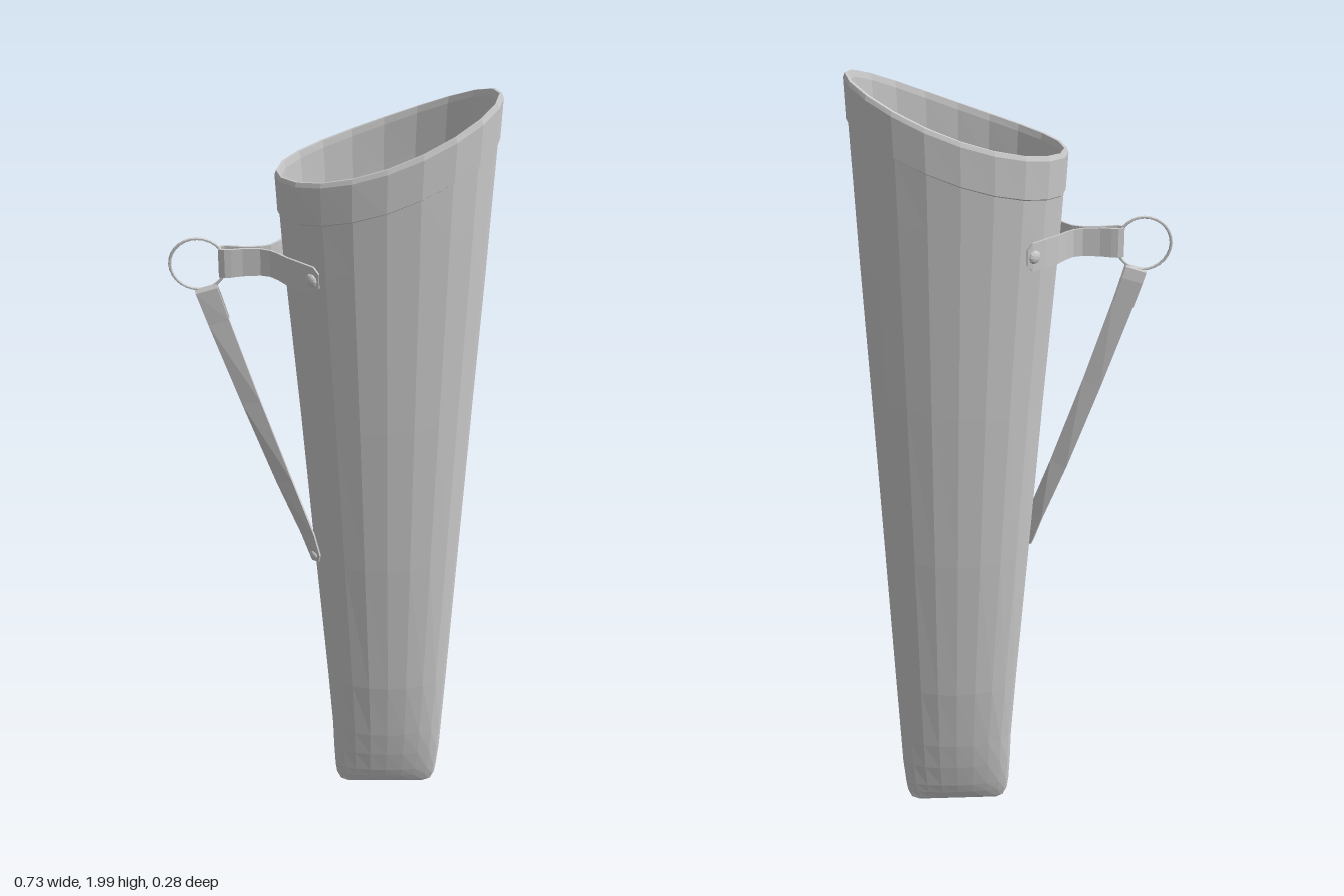
import * as THREE from 'three';

const V = (x, y, z) => new THREE.Vector3(x, y, z);
const material = new THREE.MeshStandardMaterial({ color: 0xcccccc, flatShading: true, side: THREE.DoubleSide });

// Skins a list of closed rings (counterclockwise seen from the end of the path)
function loft(rings, capped) {
  const n = rings[0].length, index = [];
  const at = (i, j) => i * n + (j % n);
  for (let i = 0; i < rings.length - 1; i++) {
    for (let j = 0; j < n; j++) {
      index.push(at(i, j), at(i, j + 1), at(i + 1, j), at(i, j + 1), at(i + 1, j + 1), at(i + 1, j));
    }
  }
  if (capped) {
    const e = rings.length - 1;
    for (let j = 1; j < n - 1; j++) {
      index.push(at(0, 0), at(0, j + 1), at(0, j), at(e, 0), at(e, j), at(e, j + 1));
    }
  }
  const geo = new THREE.BufferGeometry().setFromPoints(rings.flat());
  geo.setIndex(index);
  geo.computeVertexNormals();
  return geo;
}

function addMesh(group, name, geo) {
  const mesh = new THREE.Mesh(geo, material);
  mesh.name = name;
  group.add(mesh);
  return mesh;
}

// Flat strap along points of [position, width vector]
function ribbon(points, thickness) {
  const rings = points.map(([p, w], i) => {
    const t = points[Math.min(i + 1, points.length - 1)][0].clone().sub(points[Math.max(i - 1, 0)][0]);
    const b = t.cross(w).setLength(thickness / 2);
    return [[1, 1], [-1, 1], [-1, -1], [1, -1]].map(([s, k]) =>
      p.clone().addScaledVector(w, s / 2).addScaledVector(b, k));
  });
  return loft(rings, true);
}

// Body profile rows: y, left x, right x, half depth
const PROFILE = [
  [0.006, 0.04, 0.25, 0], [0.015, 0.022, 0.27, 0.011], [0.04, 0.011, 0.28, 0.021],
  [0.07, 0.007, 0.284, 0.03], [0.14, 0.003, 0.29, 0.044], [0.22, 0, 0.293, 0.056],
  [0.4, -0.013, 0.3, 0.075], [0.8, -0.045, 0.315, 0.099], [1.2, -0.076, 0.33, 0.117],
  [1.6, -0.11, 0.346, 0.132], [1.82, -0.125, 0.353, 0.14], [2, -0.128, 0.36, 0.142],
];

function section(y) {
  let i = 0;
  while (i < PROFILE.length - 2 && y > PROFILE[i + 1][0]) i++;
  const a = PROFILE[i], b = PROFILE[i + 1];
  const t = THREE.MathUtils.clamp((y - a[0]) / (b[0] - a[0]), 0, 1);
  return a.map((v, k) => v + (b[k] - v) * t);
}

// Slightly squashed ring; upper rings slant progressively toward the raised mouth
function bodyRing(h, grow) {
  const ring = [], N = 20;
  const slant = 0.175 * THREE.MathUtils.smoothstep(h, 0.9, 1.825);
  for (let j = 0; j < N; j++) {
    const a = (j / N) * Math.PI * 2, u = Math.cos(a), s = (u + 1) / 2;
    const y = h + slant * s * (0.45 + 0.55 * s);
    const [, l, r, d] = section(y);
    ring.push(V((l + r) / 2 + u * ((r - l) / 2 + grow), y, -Math.sin(a) * Math.max(d + grow, 0)));
  }
  return ring;
}

export function createModel() {
  const model = new THREE.Group();
  model.name = 'quiver';

  // Body shell: outside going up, over the rim, then down the inside
  const outer = [0.006, 0.015, 0.04, 0.07, 0.14, 0.22, 0.4, 0.8, 1.2, 1.45, 1.6, 1.725].map(h => bodyRing(h, -0.002));
  const collar = [bodyRing(1.728, 0.002), bodyRing(1.815, 0.001), bodyRing(1.825, -0.003)];
  const inner = [[1.825, -0.009], [1.81, -0.012], [1.72, -0.012], [1.2, -0.012], [0.8, -0.012], [0.4, -0.012],
    [0.14, -0.012], [0.04, -0.012], [0.018, -0.03]].map(([h, g]) => bodyRing(h, g));
  addMesh(model, 'body', loft([...outer, ...collar, ...inner], false));

  // Carrying ring
  const ring = addMesh(model, 'carryRing', new THREE.TorusGeometry(0.063, 0.0035, 6, 28));
  ring.position.set(-0.3, 1.597, 0);

  // Upper strap: both strands hug the body, meet, then loop around the ring
  const strand = [[-0.03, 0.105, 0.035], [-0.042, 0.1, 0.066], [-0.07, 0.08, 0.07], [-0.1, 0.053, 0.068],
    [-0.12, 0.03, 0.066], [-0.138, 0.014, 0.065], [-0.16, 0.006, 0.066], [-0.2, 0.005, 0.068],
    [-0.225, 0.009, 0.069], [-0.24, 0.01, 0.07], [-0.252, 0.006, 0.07]];
  const point = ([x, z, w], side) => [V(x, 1.606 + (x + 0.14) * 0.03, z * side), V(0, w, 0)];
  const loop = [...strand.map(p => point(p, 1)), ...strand.map(p => point(p, -1)).reverse()];
  addMesh(model, 'upperStrap', ribbon(loop, 0.005));

  // Lower strap: folded over the ring, running down and twisting onto the body
  const across = (w, z = 0) => V(0.95 * w, 0.3 * w, z);
  addMesh(model, 'lowerStrap', ribbon([
    [V(-0.258, 1.45, -0.006), across(0.05)],
    [V(-0.276, 1.51, -0.008), across(0.052)],
    [V(-0.284, 1.535, -0.005), across(0.052)],
    [V(-0.285, 1.539, 0.001), across(0.052)],
    [V(-0.283, 1.533, 0.006), across(0.052)],
    [V(-0.258, 1.45, 0.006), across(0.05, 0.002)],
    [V(-0.19, 1.24, 0.012), across(0.045, 0.008)],
    [V(-0.115, 1.02, 0.021), across(0.04, 0.015)],
    [V(-0.06, 0.87, 0.031), across(0.033, 0.024)],
    [V(-0.043, 0.81, 0.034), V(0.026, 0.006, 0.024)],
    [V(-0.041, 0.79, 0.033), V(0.016, 0.003, 0.014)],
  ], 0.005));

  // Rivets
  const rivet = (name, position, normal, radius) => {
    const mesh = addMesh(model, name, new THREE.SphereGeometry(radius, 10, 4, 0, Math.PI * 2, 0, Math.PI / 2));
    mesh.scale.y = 0.5;
    mesh.position.copy(position);
    mesh.quaternion.setFromUnitVectors(V(0, 1, 0), normal.normalize());
  };
  for (const side of [1, -1]) {
    rivet(side > 0 ? 'frontRivet' : 'backRivet', V(-0.047, 1.609, 0.099 * side), V(-0.62, 0, 0.78 * side), 0.016);
  }
  rivet('lowerRivet', V(-0.046, 0.81, 0.036), V(-0.65, 0, 0.76), 0.011);

  return model;
}
